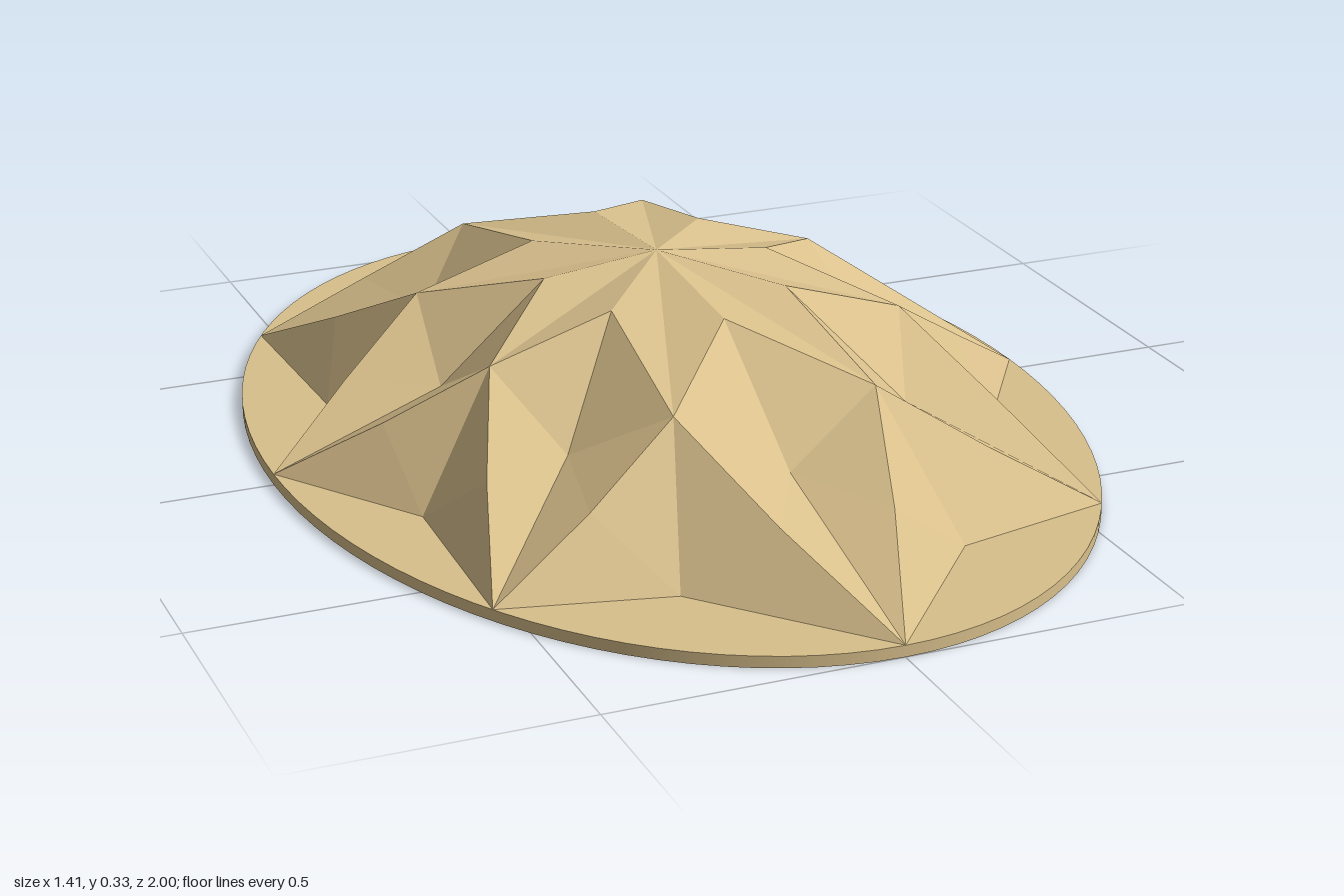
import * as THREE from 'three';

const RX = 0.705, RZ = 1, RIM = 0.02;

// Point on the elliptical plan: angle in degrees, radius as a fraction of the rim.
const at = (deg, r, y) => {
  const a = THREE.MathUtils.degToRad(deg);
  return new THREE.Vector3(Math.cos(a) * r * RX, y, Math.sin(a) * r * RZ);
};

export function createModel() {
  const model = new THREE.Group();
  const tan = new THREE.MeshStandardMaterial({ color: 0xd9c08c });
  tan.name = 'sandTan';

  // thin oval plate
  const plateGeometry = new THREE.CylinderGeometry(1, 1, RIM, 96);
  plateGeometry.scale(RX, 1, RZ);
  plateGeometry.translate(0, RIM / 2, 0);
  const plate = new THREE.Mesh(plateGeometry, tan);
  plate.name = 'ovalPlate';
  model.add(plate);

  // folded star dome: eight hollow petals meeting at the apex
  const positions = [];
  const tri = (a, b, c) => {
    const n = b.clone().sub(a).cross(c.clone().sub(a));
    const corners = n.y < 0 ? [a, c, b] : [a, b, c];   // always face upward
    for (const p of corners) positions.push(p.x, p.y, p.z);
  };
  const apex = new THREE.Vector3(0, 0.33, 0);
  const tips = [0, 40, 90, 140, 180, 220, 270, 320];
  const gaps = [19.5, 63.4, 116.6, 160.5, 199.5, 243.4, 296.6, 340.5];

  tips.forEach((deg, i) => {
    const inner = at(deg, 0.297, 0.306);
    const hollow = at(deg, 0.57, 0.135);
    const tip = at(deg, 1, RIM);
    for (const gap of [gaps[i], gaps[(i + 7) % 8]]) {
      const shoulder = at(gap, 0.57, 0.238);
      const foot = at(gap, 0.793, RIM);
      // petal edge bows slightly outward between shoulder and tip
      const edge = shoulder.clone().lerp(tip, 0.5).lerp(foot, 0.06);
      edge.y = (shoulder.y + tip.y) / 2;
      tri(apex, inner, shoulder);      // crown
      tri(inner, hollow, shoulder);    // steep inside of the petal
      tri(shoulder, hollow, edge);     // shallow inside of the petal
      tri(hollow, tip, edge);
      tri(shoulder, edge, foot);       // flank down to the plate
      tri(edge, tip, foot);
    }
  });

  const domeGeometry = new THREE.BufferGeometry();
  domeGeometry.setAttribute('position', new THREE.Float32BufferAttribute(positions, 3));
  domeGeometry.computeVertexNormals();
  const dome = new THREE.Mesh(domeGeometry, tan);
  dome.name = 'facetedStarDome';
  model.add(dome);

  return model;
}
